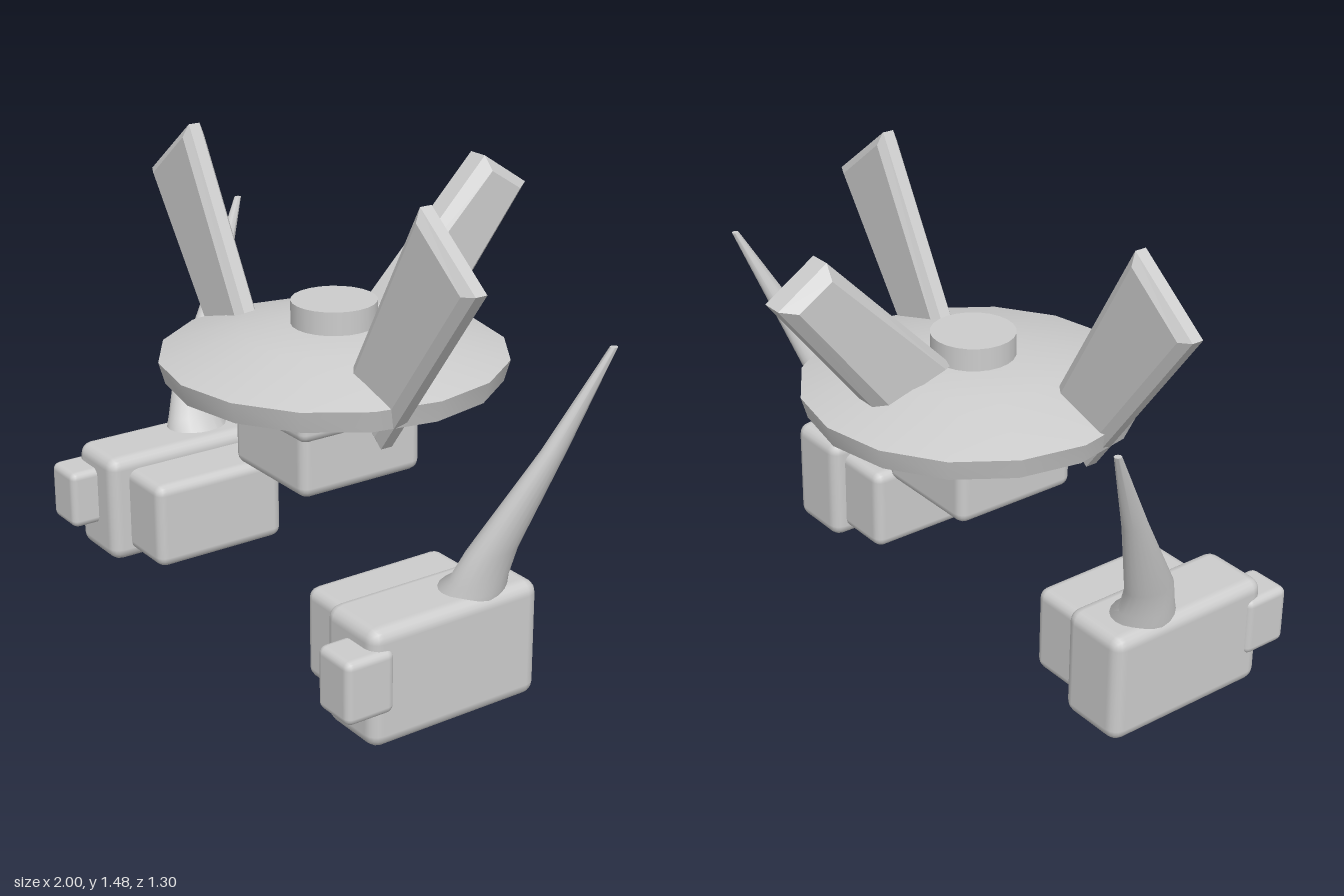
import * as THREE from 'three';
import { toCreasedNormals } from 'three/addons/utils/BufferGeometryUtils.js';
import { RoundedBoxGeometry } from 'three/addons/geometries/RoundedBoxGeometry.js';

const grey = new THREE.MeshStandardMaterial({ color: 0xcccccc });
grey.name = 'plain grey';

function add(parent, name, geometry) {
  const mesh = new THREE.Mesh(geometry, grey);
  mesh.name = name;
  parent.add(mesh);
  return mesh;
}

// Soft-edged box given by its minimum and maximum corners
function block(parent, name, min, max, radius) {
  const [w, h, d] = max.map((v, i) => v - min[i]);
  const mesh = add(parent, name, new RoundedBoxGeometry(w, h, d, 2, radius));
  mesh.position.set(...max.map((v, i) => (v + min[i]) / 2));
}

// Tapered plate with chamfered edges, centred on its own thickness
function plate(points, thickness, chamfer, inset) {
  const shape = new THREE.Shape(points.map(([x, y]) => new THREE.Vector2(x, y)));
  const depth = thickness - 2 * chamfer;
  const geometry = new THREE.ExtrudeGeometry(shape, {
    depth, bevelEnabled: true, bevelSegments: 1,
    bevelThickness: chamfer, bevelSize: inset, bevelOffset: -inset,
  });
  return geometry.translate(0, 0, -depth / 2);
}

// Leaning oval horn: each ring is [x, y, z, half width, half depth], base first
const hornRings = [
  [0.76, 0.30, 0.15, 0.095, 0.115],
  [0.78, 0.375, 0.133, 0.09, 0.108],
  [0.803, 0.41, 0.127, 0.068, 0.096],
  [0.832, 0.50, 0.105, 0.056, 0.086],
  [0.917, 0.80, -0.043, 0.030, 0.044],
  [0.989, 1.10, -0.185, 0.011, 0.012],
];

function horn(side) {
  const last = hornRings.length - 1;
  const geometry = new THREE.CylinderGeometry(1, 1, last, 20, last);
  const p = geometry.attributes.position;
  for (let i = 0; i < p.count; i++) {
    const [x, y, z, rx, rz] = hornRings[Math.round(p.getY(i) + last / 2)];
    p.setXYZ(i, side * x + p.getX(i) * rx, y, z + p.getZ(i) * rz);
  }
  return toCreasedNormals(geometry, 0.7);
}

export function createModel() {
  const model = new THREE.Group();
  model.name = 'craft';

  // Saucer hull with cap
  const profile = [[0, 0.745], [0.25, 0.75], [0.535, 0.79], [0.555, 0.86],
    [0.30, 0.935], [0.15, 0.952], [0, 0.955]].map(([r, y]) => new THREE.Vector2(r, y));
  const hull = add(model, 'saucerHull', toCreasedNormals(new THREE.LatheGeometry(profile, 16), 0.6));
  hull.position.z = 0.08;
  const cap = add(model, 'cap', new THREE.CylinderGeometry(0.137, 0.137, 0.1, 24));
  cap.position.set(0, 0.978, 0.08);

  // Stepped block under the hull
  block(model, 'upperBellyBlock', [-0.215, 0.665, -0.13], [0.215, 0.80, 0.346], 0.03);
  block(model, 'lowerBellyBlock', [-0.20, 0.475, -0.118], [0.20, 0.72, 0.335], 0.035);

  // Rear fin, drawn in z and y then turned side-on
  const fin = plate([[-0.48, 1.413], [-0.65, 1.303], [-0.30, 0.86], [-0.03, 0.955]], 0.14, 0.035, 0.035);
  add(model, 'rearFin', fin.rotateY(-Math.PI / 2));

  for (const side of [1, -1]) {
    const half = new THREE.Group();
    half.name = side > 0 ? 'leftSide' : 'rightSide';
    model.add(half);

    // Upright blade through the hull
    const outline = [[0.622, 1.483], [0.875, 1.287], [0.445, 0.704], [0.265, 0.853]];
    const blade = add(half, 'blade', plate(outline.map(([x, y]) => [side * x, y]), 0.08, 0.02, 0.03));
    blade.position.z = 0.2;

    // Pod made of three blocks
    const pod = (name, x0, x1, y0, y1, z0, z1, r) => block(half, name,
      [Math.min(side * x0, side * x1), y0, z0], [Math.max(side * x0, side * x1), y1, z1], r);
    pod('mainPod', 0.632, 0.875, 0, 0.374, -0.047, 0.555, 0.042);
    pod('innerPod', 0.435, 0.67, 0.035, 0.33, 0, 0.487, 0.035);
    pod('podNose', 0.733, 0.888, 0.115, 0.315, 0.484, 0.65, 0.025);

    add(half, 'horn', horn(side));
  }
  return model;
}
